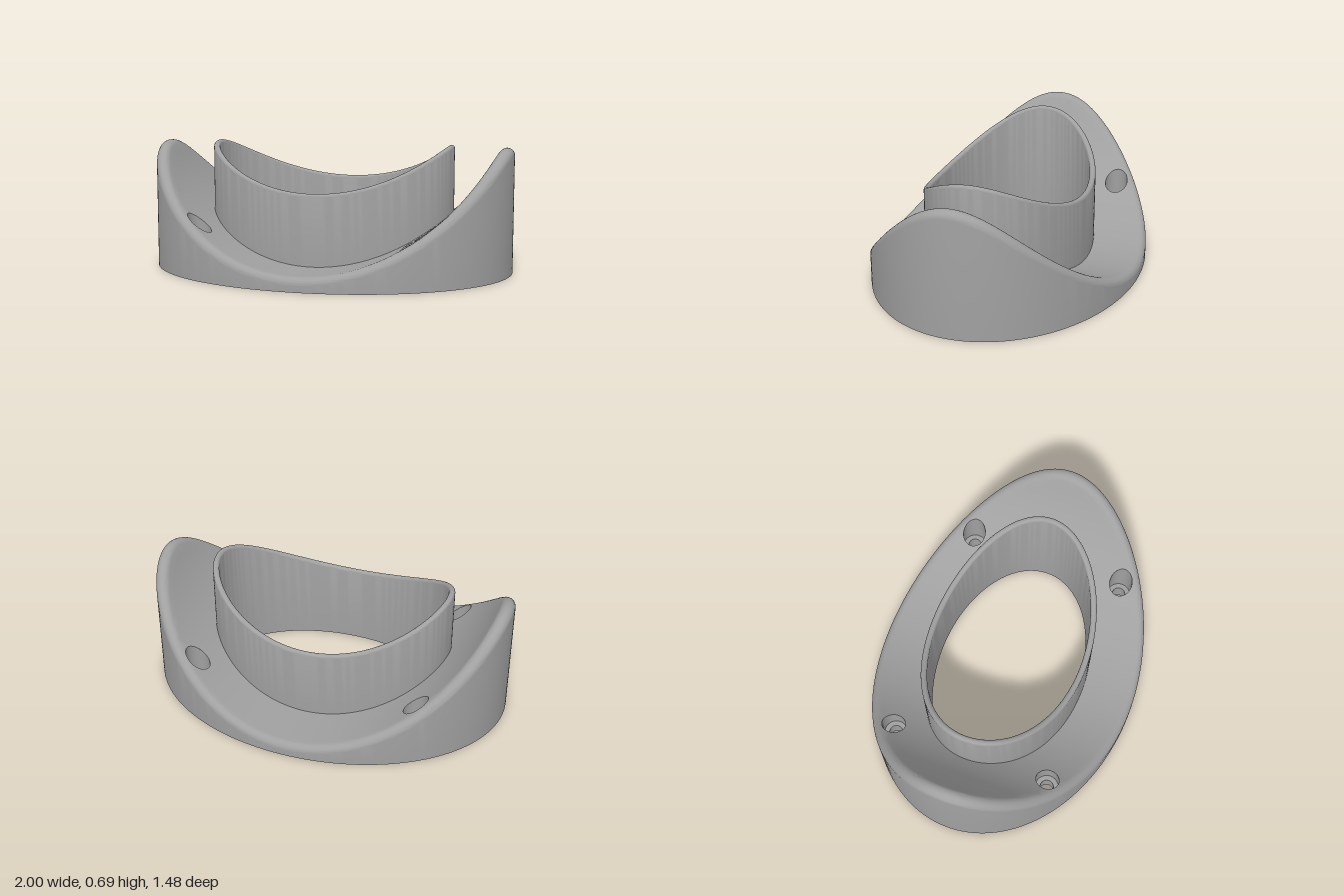
import * as THREE from 'three';
import { toCreasedNormals } from 'three/addons/utils/BufferGeometryUtils.js';

// Main sizes: outer ellipse, tube ellipses, saddle cylinder running along z
const A = 1, B = 0.74, TA = 0.677, TB = 0.445, IA = 0.643, IB = 0.411;
const R = 1.02, CY = 1.095, FILLET = 0.04;
const saddle = (x) => CY - Math.sqrt(R * R - x * x);

const V = (x, y, z) => new THREE.Vector3(x, y, z);
const ellipse = (a, b, t, y = 0) => V(a * Math.cos(t), y, b * Math.sin(t));
const ellipseNormal = (a, b, t) => V(Math.cos(t) / a, 0, Math.sin(t) / b).normalize();

// Rotate smoothly from unit vector p to unit vector q
function slerp(p, q, s) {
  const w = p.angleTo(q);
  return p.clone().multiplyScalar(Math.sin((1 - s) * w) / Math.sin(w))
    .addScaledVector(q, Math.sin(s * w) / Math.sin(w));
}

// Sweep a profile around an axis. profile(angle) lists the points of one section;
// each hole {x, z, r, y(x)} replaces a block of cells by a patch ending in a circle.
function sweep(profile, n, holes = []) {
  const pos = [];
  const quad = (a, b, c, d) => {
    for (const p of [a, b, c, a, c, d]) pos.push(p.x, p.y, p.z);
  };
  const rows = [];
  for (let i = 0; i < n; i++) rows.push(profile(0.4 + (i / n) * Math.PI * 2));
  rows.push(rows[0]);
  const m = rows[0].length - 1;

  const blocks = holes.map((h) => {
    let i0 = n, i1 = 0, j0 = m, j1 = 0;
    for (let i = 0; i < n; i++) for (let j = 0; j <= m; j++) {
      const p = rows[i][j];
      if (Math.hypot(p.x - h.x, p.z - h.z) > h.r * 1.08) continue;
      i0 = Math.min(i0, i); i1 = Math.max(i1, i);
      j0 = Math.min(j0, j); j1 = Math.max(j1, j);
    }
    return { h, i0: i0 - 1, i1: i1 + 1, j0: Math.max(0, j0 - 1), j1: Math.min(m, j1 + 1) };
  });

  for (let i = 0; i < n; i++) for (let j = 0; j < m; j++) {
    if (blocks.some((b) => i >= b.i0 && i < b.i1 && j >= b.j0 && j < b.j1)) continue;
    quad(rows[i][j], rows[i][j + 1], rows[i + 1][j + 1], rows[i + 1][j]);
  }

  for (const { h, i0, i1, j0, j1 } of blocks) {
    const loop = [];
    for (let i = i0; i < i1; i++) loop.push(rows[i][j0]);
    for (let j = j0; j < j1; j++) loop.push(rows[i1][j]);
    for (let i = i1; i > i0; i--) loop.push(rows[i][j1]);
    for (let j = j1; j > j0; j--) loop.push(rows[i0][j]);
    const circle = loop.map((p) => {
      const t = Math.atan2(p.z - h.z, p.x - h.x);
      const x = h.x + h.r * Math.cos(t);
      return V(x, h.y(x), h.z + h.r * Math.sin(t));
    });
    loop.forEach((p, k) => {
      const l = (k + 1) % loop.length;
      quad(p, circle[k], circle[l], loop[l]);
    });
  }

  const g = new THREE.BufferGeometry();
  g.setAttribute('position', new THREE.Float32BufferAttribute(pos, 3));
  return toCreasedNormals(g, 0.6);
}

export function createModel() {
  const group = new THREE.Group();
  const grey = new THREE.MeshStandardMaterial({ color: 0xa0a0a0 });
  grey.name = 'grey';
  const add = (name, geometry) => {
    const mesh = new THREE.Mesh(geometry, grey);
    mesh.name = name;
    group.add(mesh);
  };

  const screws = [], pins = [];
  for (const s of [-1, 1]) {
    for (const t of [-1, 1]) screws.push({ x: s * 0.617, z: t * 0.45 });
    pins.push({ x: s * 0.86, z: 0 }, { x: 0, z: s * 0.59 });
  }

  // Outer wall, rolled rim and saddle-shaped top
  add('saddleBody', sweep((t) => {
    const n = ellipseNormal(A, B, t);
    const c = ellipse(A, B, t).addScaledVector(n, -FILLET);
    c.y = CY - Math.sqrt((R + FILLET) ** 2 - c.x ** 2);
    const up = V(-c.x, CY - c.y, 0).normalize();
    const pts = [ellipse(A, B, t)];
    for (let k = 0; k <= 10; k++) pts.push(c.clone().addScaledVector(slerp(n, up, k / 10), FILLET));
    const edge = pts[pts.length - 1], inner = ellipse(TA - 0.005, TB - 0.005, t);
    for (let k = 1; k <= 12; k++) {
      const p = edge.clone().lerp(inner, k / 12);
      p.y = saddle(p.x);
      pts.push(p);
    }
    return pts;
  }, 192, screws.map((h) => ({ ...h, r: 0.064, y: saddle }))));

  // Raised oval collar with a rounded lip
  add('collar', sweep((t) => {
    const w = (TA - IA) / 2;
    const n = ellipseNormal(TA, TB, t);
    const c = ellipse(TA, TB, t).addScaledVector(n, -w);
    c.y = 1.515 - Math.sqrt(1.055 ** 2 - c.x ** 2) - w;
    const foot = ellipse(TA, TB, t);
    foot.y = saddle(foot.x) - 0.02;
    const pts = [foot];
    for (let k = 0; k <= 10; k++) {
      const a = (k / 10) * Math.PI;
      pts.push(c.clone().addScaledVector(n, w * Math.cos(a)).add(V(0, w * Math.sin(a), 0)));
    }
    pts.push(ellipse(IA, IB, t));
    return pts;
  }, 192));

  // Flat underside
  add('underside', sweep((t) => {
    const pts = [];
    for (let k = 0; k <= 16; k++) pts.push(ellipse(IA, IB, t).lerp(ellipse(A, B, t), k / 16));
    return pts;
  }, 192, [
    ...screws.map((h) => ({ ...h, r: 0.055, y: () => 0 })),
    ...pins.map((h) => ({ ...h, r: 0.033, y: () => 0 })),
  ]));

  // Counterbored screw holes, chamfered below
  const ring = (h, r, t, y) => V(h.x + r * Math.cos(t), y, h.z + r * Math.sin(t));
  for (const h of screws) {
    add('screwHole', sweep((t) => {
      const top = ring(h, 0.064, t, 0);
      top.y = saddle(top.x);
      return [top, ring(h, 0.064, t, 0.12), ring(h, 0.037, t, 0.12),
        ring(h, 0.037, t, 0.02), ring(h, 0.055, t, 0)];
    }, 40));
  }

  // Blind pin holes in the underside
  for (const h of pins) {
    add('pinHole', sweep((t) => [ring(h, 0, t, 0.05), ring(h, 0.033, t, 0.05), ring(h, 0.033, t, 0)], 32));
  }
  return group;
}
